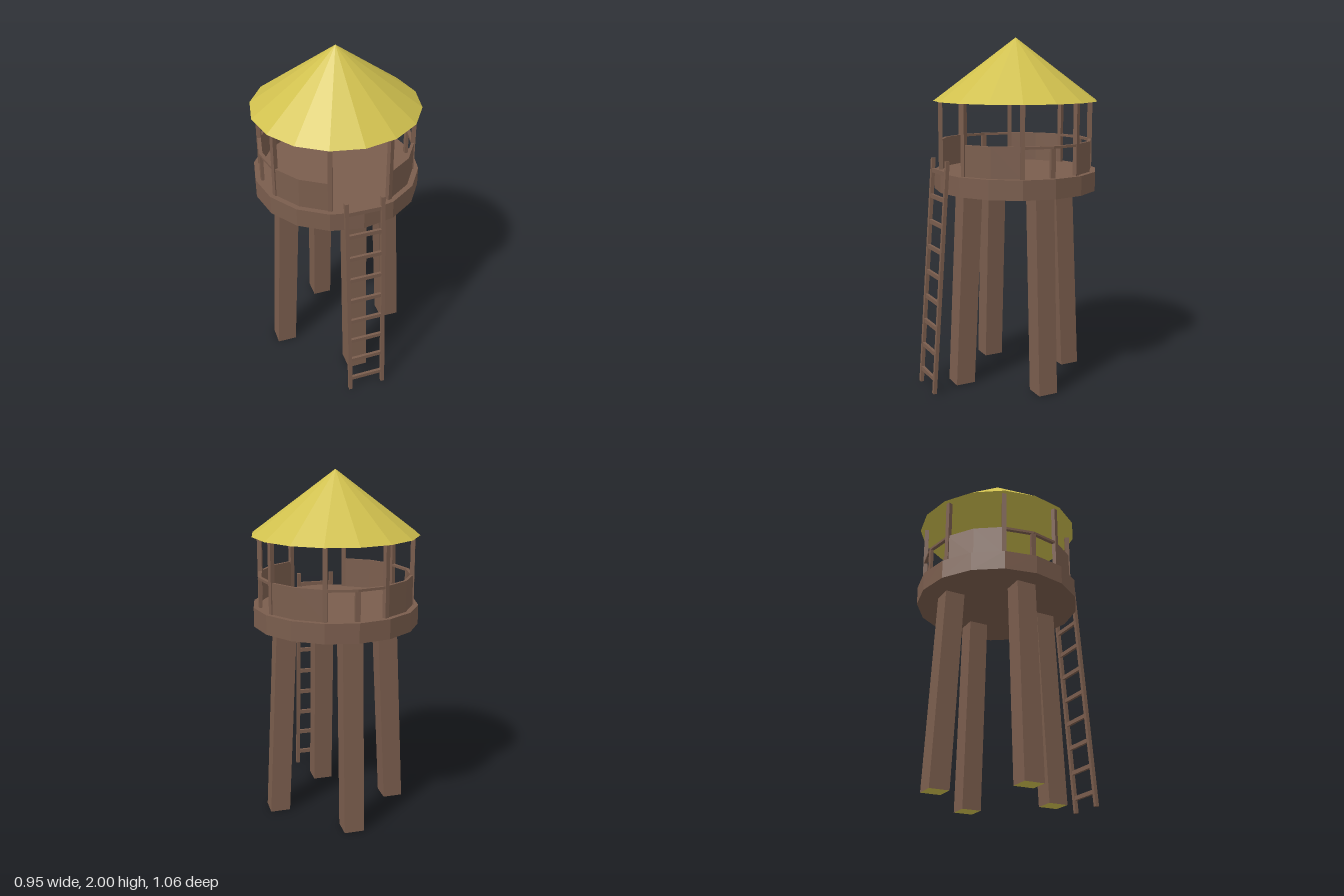
import * as THREE from 'three';

const wood = new THREE.MeshStandardMaterial({ color: 0x7a5d4d, flatShading: true });
wood.name = 'brownWood';
const thatch = new THREE.MeshStandardMaterial({ color: 0xd0c04e, flatShading: true });
thatch.name = 'yellowThatch';

function add(parent, name, geometry, material, x = 0, y = 0, z = 0) {
  const mesh = new THREE.Mesh(geometry, material);
  mesh.name = name;
  mesh.position.set(x, y, z);
  parent.add(mesh);
  return mesh;
}

// Two-facet strip covering an eighth of the ring, standing on y = 0
function ringStrip(centre, inner, outer, height) {
  const step = Math.PI / 8;
  const point = (r, i) => new THREE.Vector2(r * Math.cos(centre + i * step), r * Math.sin(centre + i * step));
  const shape = new THREE.Shape([
    ...[-1, 0, 1].map((i) => point(outer, i)),
    ...[1, 0, -1].map((i) => point(inner, i)),
  ]);
  return new THREE.ExtrudeGeometry(shape, { depth: height, bevelEnabled: false }).rotateX(-Math.PI / 2);
}

export function createModel() {
  const model = new THREE.Group();
  model.name = 'watchtower';
  const tower = new THREE.Group();
  tower.name = 'tower';
  tower.position.z = -0.055;
  model.add(tower);

  // Roof and platform
  add(tower, 'roof', new THREE.ConeGeometry(0.473, 0.355, 16), thatch, 0, 1.8225, 0);
  add(tower, 'platform', new THREE.CylinderGeometry(0.473, 0.473, 0.11, 16), wood, 0, 1.195, 0);

  // Four legs leaning inwards, with their feet in the second colour
  const legHeight = 1.14;
  for (const [dx, dz] of [[1, 0], [-1, 0], [0, 1], [0, -1]]) {
    const geometry = new THREE.BoxGeometry(0.115, legHeight, 0.115);
    const p = geometry.attributes.position;
    for (let i = 0; i < p.count; i++) {
      const reach = p.getY(i) > 0 ? 0.298 : 0.355;
      p.setX(i, p.getX(i) + dx * reach);
      p.setZ(i, p.getZ(i) + dz * reach);
    }
    geometry.computeVertexNormals();
    add(tower, 'leg', geometry, [wood, wood, wood, thatch, wood, wood], 0, legHeight / 2, 0);
  }

  // Eight roof posts, with solid panels and open railings in turn; the front stays open
  for (let k = 0; k < 8; k++) {
    const centre = k * Math.PI / 4;
    const postAngle = centre + Math.PI / 8;
    const post = add(tower, 'roofPost', new THREE.BoxGeometry(0.025, 0.4, 0.025), wood,
      0.434 * Math.cos(postAngle), 1.45, -0.434 * Math.sin(postAngle));
    post.rotation.y = postAngle;
    if (k % 2) {
      add(tower, 'wallPanel', ringStrip(centre, 0.425, 0.442, 0.175), wood, 0, 1.248, 0);
    } else if (k !== 6) {
      add(tower, 'handrail', ringStrip(centre, 0.424, 0.445, 0.014), wood, 0, 1.409, 0);
      const baluster = add(tower, 'baluster', new THREE.BoxGeometry(0.018, 0.165, 0.028), wood,
        0.434 * Math.cos(centre), 1.33, -0.434 * Math.sin(centre));
      baluster.rotation.y = centre;
    }
  }

  // Leaning ladder
  const ladder = new THREE.Group();
  ladder.name = 'ladder';
  model.add(ladder);
  const bottom = 0.517, top = 0.418, height = 1.328;
  for (const side of [-1, 1]) {
    const geometry = new THREE.BoxGeometry(0.022, height, 0.021);
    const p = geometry.attributes.position;
    for (let i = 0; i < p.count; i++) {
      p.setZ(i, p.getZ(i) + (p.getY(i) > 0 ? top : bottom));
    }
    geometry.computeVertexNormals();
    add(ladder, 'ladderRail', geometry, wood, side * 0.103, height / 2, 0);
  }
  for (let i = 0; i < 9; i++) {
    const y = 0.083 + i * 0.147;
    const z = THREE.MathUtils.lerp(bottom, top, y / height);
    add(ladder, 'ladderRung', new THREE.BoxGeometry(0.19, 0.024, 0.016), wood, 0, y, z);
  }

  return model;
}
